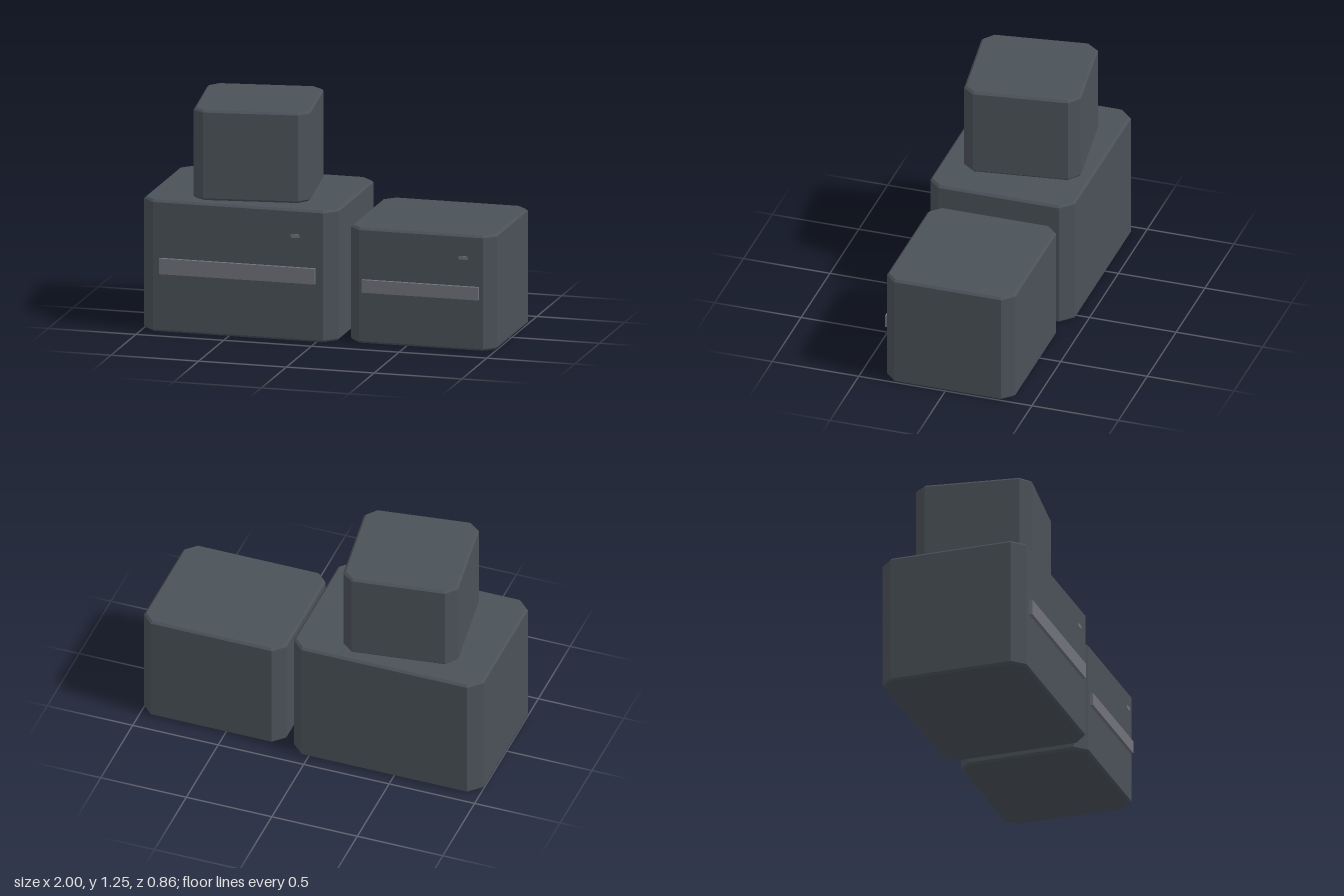
import * as THREE from 'three';

const BEVEL = 0.012;

// Upright crate: octagonal plan with chamfered corners and a fine bevel on top and bottom rims
function crateGeometry(w, h, d, c) {
  const x = w / 2 - BEVEL, z = d / 2 - BEVEL;
  const k = c - BEVEL * (2 - Math.SQRT2); // keeps the chamfer at c once the bevel grows the outline
  const shape = new THREE.Shape([
    [x - k, -z], [x, -z + k], [x, z - k], [x - k, z],
    [-x + k, z], [-x, z - k], [-x, -z + k], [-x + k, -z],
  ].map(([a, b]) => new THREE.Vector2(a, b)));
  const geometry = new THREE.ExtrudeGeometry(shape, {
    depth: h - 2 * BEVEL, bevelEnabled: true, bevelSegments: 1,
    bevelSize: BEVEL, bevelThickness: BEVEL,
  });
  geometry.rotateX(-Math.PI / 2);
  geometry.translate(0, BEVEL, 0);
  return geometry;
}

export function createModel() {
  const model = new THREE.Group();
  model.name = 'crateStack';

  const body = new THREE.MeshStandardMaterial({ color: 0x4a5158 });
  body.name = 'slate grey';
  const trim = new THREE.MeshStandardMaterial({ color: 0x70727a });
  trim.name = 'light grey';

  const addCrate = (name, w, h, d, c, x, y, z, turn = 0) => {
    const mesh = new THREE.Mesh(crateGeometry(w, h, d, c), body);
    mesh.name = name;
    mesh.position.set(x, y, z);
    mesh.rotation.y = turn;
    model.add(mesh);
  };

  // Box given by its lower and upper corners
  const addPlate = (name, [x0, y0, z0], [x1, y1, z1]) => {
    const mesh = new THREE.Mesh(new THREE.BoxGeometry(x1 - x0, y1 - y0, z1 - z0), trim);
    mesh.name = name;
    mesh.position.set((x0 + x1) / 2, (y0 + y1) / 2, (z0 + z1) / 2);
    model.add(mesh);
  };

  // Three crates, the top one slightly turned
  addCrate('largeCrate', 1.11, 0.742, 0.836, 0.07, -0.445, 0, -0.011);
  addCrate('smallCrate', 0.832, 0.65, 0.742, 0.062, 0.584, 0, -0.013);
  addCrate('topCrate', 0.645, 0.508, 0.65, 0.06, -0.447, 0.742, -0.013, 0.14);

  // Front strips
  addPlate('largeStrip', [-0.89, 0.33, 0.4], [-0.003, 0.418, 0.426]);
  addPlate('smallStrip', [0.252, 0.29, 0.35], [0.914, 0.362, 0.377]);

  // Small tags standing just proud of the front faces
  addPlate('largeTag', [-0.138, 0.587, 0.426], [-0.088, 0.608, 0.43]);
  addPlate('smallTag', [0.805, 0.515, 0.375], [0.853, 0.535, 0.379]);

  return model;
}
